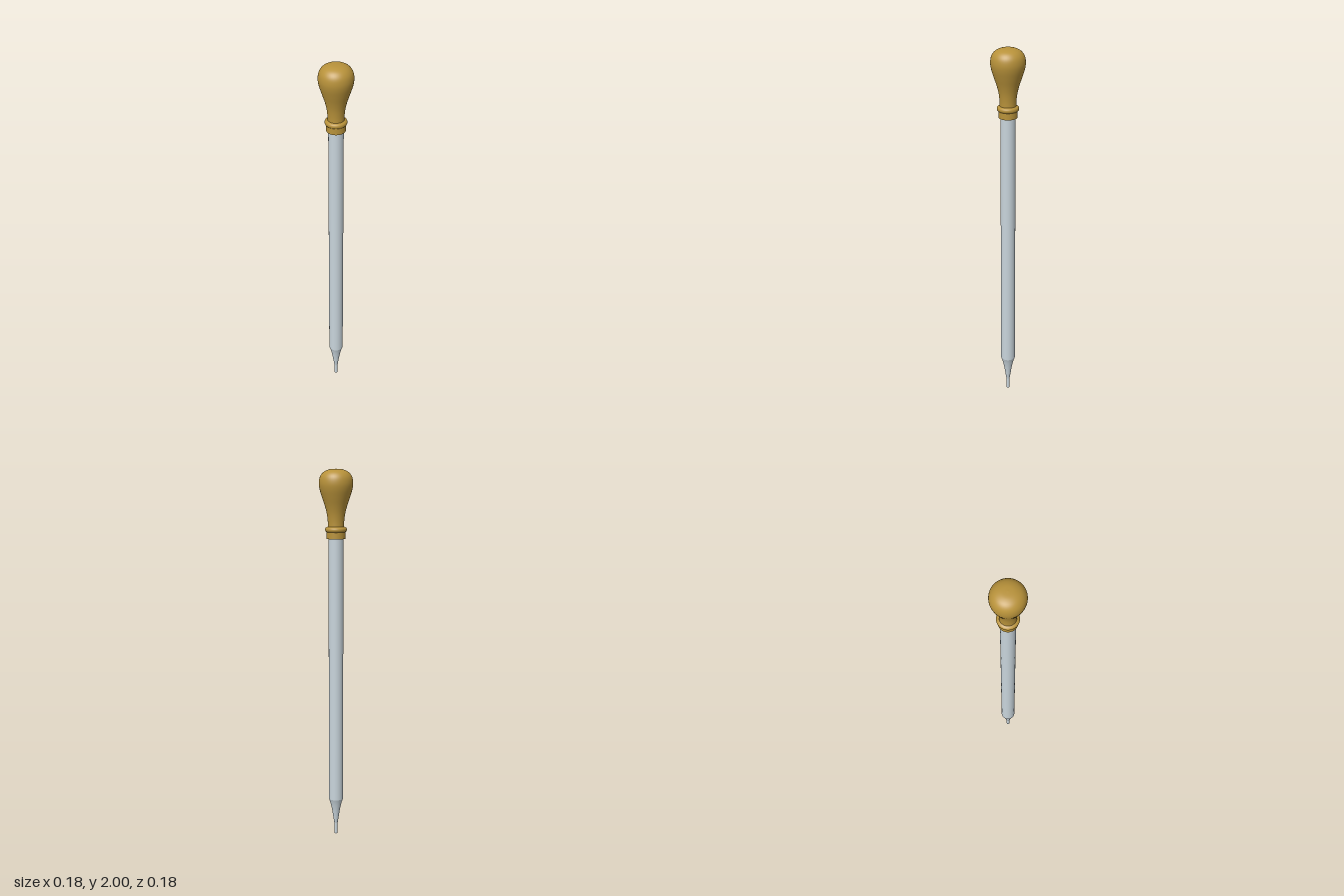
import * as THREE from 'three';

const SEGMENTS = 48;
const v = (x, y) => new THREE.Vector2(x, y);

// Revolves several runs of points; each join between runs is a sharp edge.
function turned(name, material, runs) {
  const mesh = new THREE.Mesh(new THREE.LatheGeometry(runs.flat(), SEGMENTS), material);
  mesh.name = name;
  return mesh;
}

const smooth = (points, n) => new THREE.SplineCurve(points).getPoints(n);

export function createModel() {
  const glass = new THREE.MeshStandardMaterial({ color: 0xc8d4db });
  glass.name = 'pale glass';
  const rubber = new THREE.MeshStandardMaterial({ color: 0xb8923a });
  rubber.name = 'amber rubber';

  const group = new THREE.Group();
  group.name = 'dropper';

  // Glass tube: bore, rim, narrow tip, concave taper, straight barrel
  group.add(turned('glassTube', glass, [
    [v(0, 0.06), v(0.005, 0.06)],
    [v(0.005, 0.06), v(0.005, 0)],
    [v(0.005, 0), v(0.009, 0)],
    [v(0.009, 0), v(0.009, 0.06)],
    smooth([v(0.009, 0.06), v(0.014, 0.09), v(0.022, 0.14), v(0.031, 0.18), v(0.039, 0.205)], 14),
    [v(0.039, 0.205), v(0.039, 1.66)],
  ]));

  // Collar and rolled bead at the mouth of the bulb
  group.add(turned('bulbCollar', rubber, [
    [v(0.036, 1.64), v(0.049, 1.64)],
    [v(0.049, 1.64), v(0.049, 1.675)],
    smooth([v(0.049, 1.675), v(0.055, 1.68), v(0.057, 1.688), v(0.054, 1.697), v(0.043, 1.703)], 12),
  ]));

  // Squeeze bulb: slim neck swelling to a rounded head
  group.add(turned('squeezeBulb', rubber, [
    smooth([
      v(0.042, 1.695), v(0.043, 1.73), v(0.048, 1.77), v(0.058, 1.81), v(0.073, 1.855),
      v(0.085, 1.895), v(0.089, 1.928), v(0.083, 1.96), v(0.064, 1.984), v(0.034, 1.997), v(0, 2),
    ], 44),
  ]));

  return group;
}
